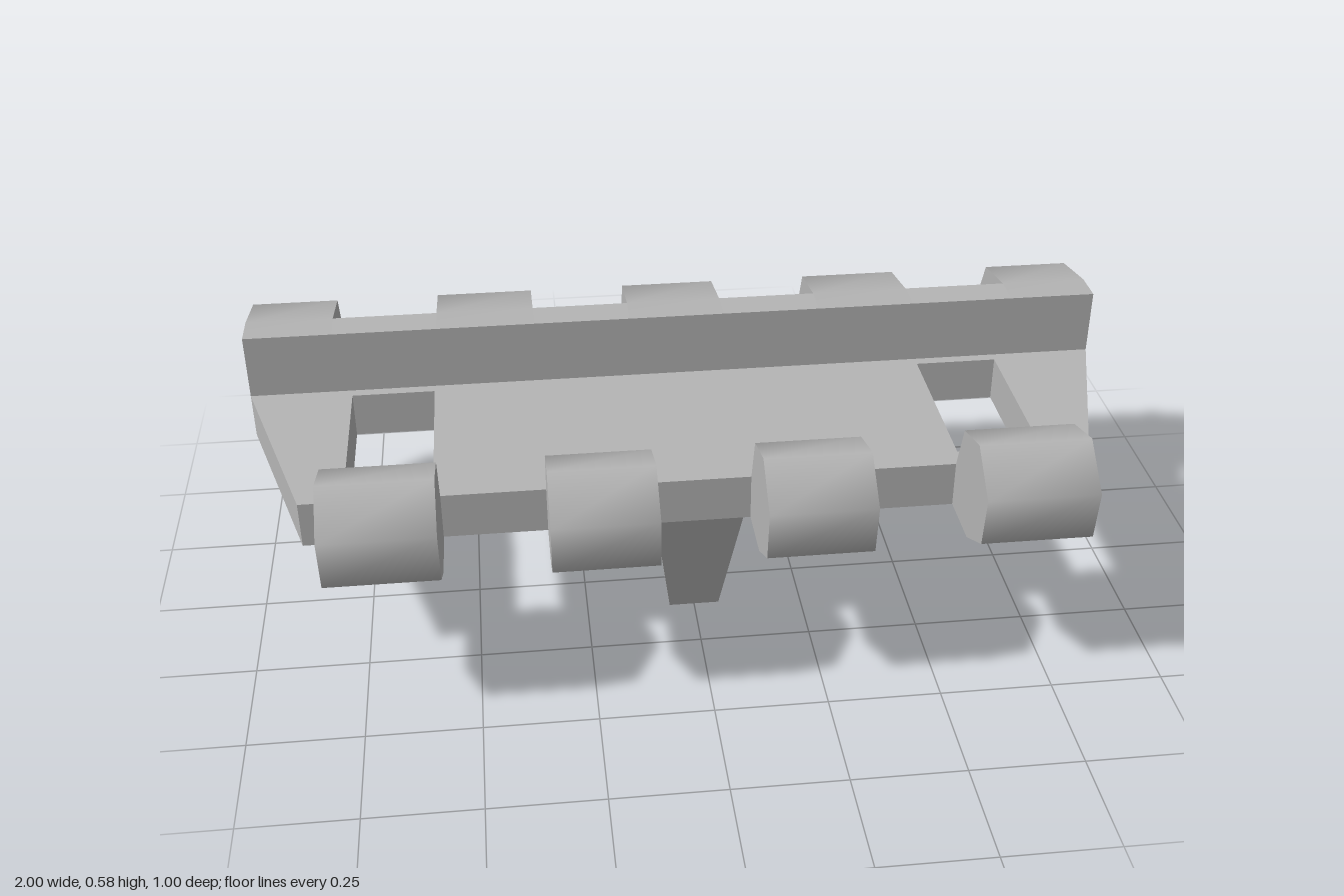
import * as THREE from 'three';
import { toCreasedNormals } from 'three/addons/utils/BufferGeometryUtils.js';

const steel = new THREE.MeshStandardMaterial({ color: 0xb4b4b4 });
steel.name = 'steel grey';

// Extrudes a [z, y] side profile from x0 to x1, rounding the soft corners
function sideExtrude(profile, x0, x1) {
  const shape = new THREE.Shape(profile.map(([z, y]) => new THREE.Vector2(-z, y)));
  const geo = new THREE.ExtrudeGeometry(shape, { depth: x1 - x0, bevelEnabled: false });
  geo.rotateY(Math.PI / 2).translate(x0, 0, 0);
  return toCreasedNormals(geo, 1.1);
}

export function createModel() {
  const group = new THREE.Group();
  group.name = 'trackLink';
  const add = (name, geo) => {
    const mesh = new THREE.Mesh(geo, steel);
    mesh.name = name;
    group.add(mesh);
  };

  // Tapered base plate with two sprocket windows
  const bottom = 0.33, top = 0.435;
  const outline = new THREE.Shape([[-1, 0.225], [-0.86, -0.25], [0.86, -0.25], [1, 0.225]]
    .map(([x, y]) => new THREE.Vector2(x, y)));
  for (const s of [-1, 1]) {
    outline.holes.push(new THREE.Path([[0.575, -0.2], [0.765, -0.2], [0.765, 0.2], [0.575, 0.2]]
      .map(([x, y]) => new THREE.Vector2(s * x, y))));
  }
  const plate = new THREE.ExtrudeGeometry(outline, { depth: top - bottom, bevelEnabled: false });
  plate.rotateX(-Math.PI / 2).translate(0, bottom, 0);
  add('basePlate', plate);

  // Front hinge knuckles
  const frontProfile = [[0.25, 0.33], [0.38, 0.33], [0.485, 0.385], [0.5, 0.5],
    [0.403, 0.577], [0.29, 0.545], [0.25, 0.435]];
  for (const [a, b] of [[-0.8, -0.56], [-0.335, -0.112], [0.108, 0.335], [0.56, 0.8]]) {
    add('frontKnuckle', sideExtrude(frontProfile, a, b));
  }

  // Rear hinge knuckles, joined by a raised bar with a sloping back
  const rearProfile = [[-0.225, 0.33], [-0.225, 0.585], [-0.305, 0.585], [-0.455, 0.556],
    [-0.5, 0.465], [-0.468, 0.37], [-0.375, 0.33]];
  const barProfile = [[-0.225, 0.33], [-0.225, 0.585], [-0.305, 0.585]];
  const rear = [[-1, -0.8], [-0.56, -0.335], [-0.112, 0.108], [0.335, 0.56], [0.8, 1]];
  rear.forEach(([a, b], i) => {
    add('rearKnuckle', sideExtrude(rearProfile, a, b));
    if (i < rear.length - 1) add('rearBar', sideExtrude(barProfile, b, rear[i + 1][0]));
  });

  // Guide horn tapering down below the plate
  const horn = new THREE.BoxGeometry(1, bottom, 1).translate(0, bottom / 2, 0);
  const p = horn.attributes.position;
  for (let i = 0; i < p.count; i++) {
    const low = p.getY(i) < 0.1;
    p.setX(i, p.getX(i) * (low ? 0.115 : 0.2));
    p.setZ(i, p.getZ(i) * (low ? 0.225 : 0.45));
  }
  add('guideHorn', toCreasedNormals(horn, 0.1));

  return group;
}
